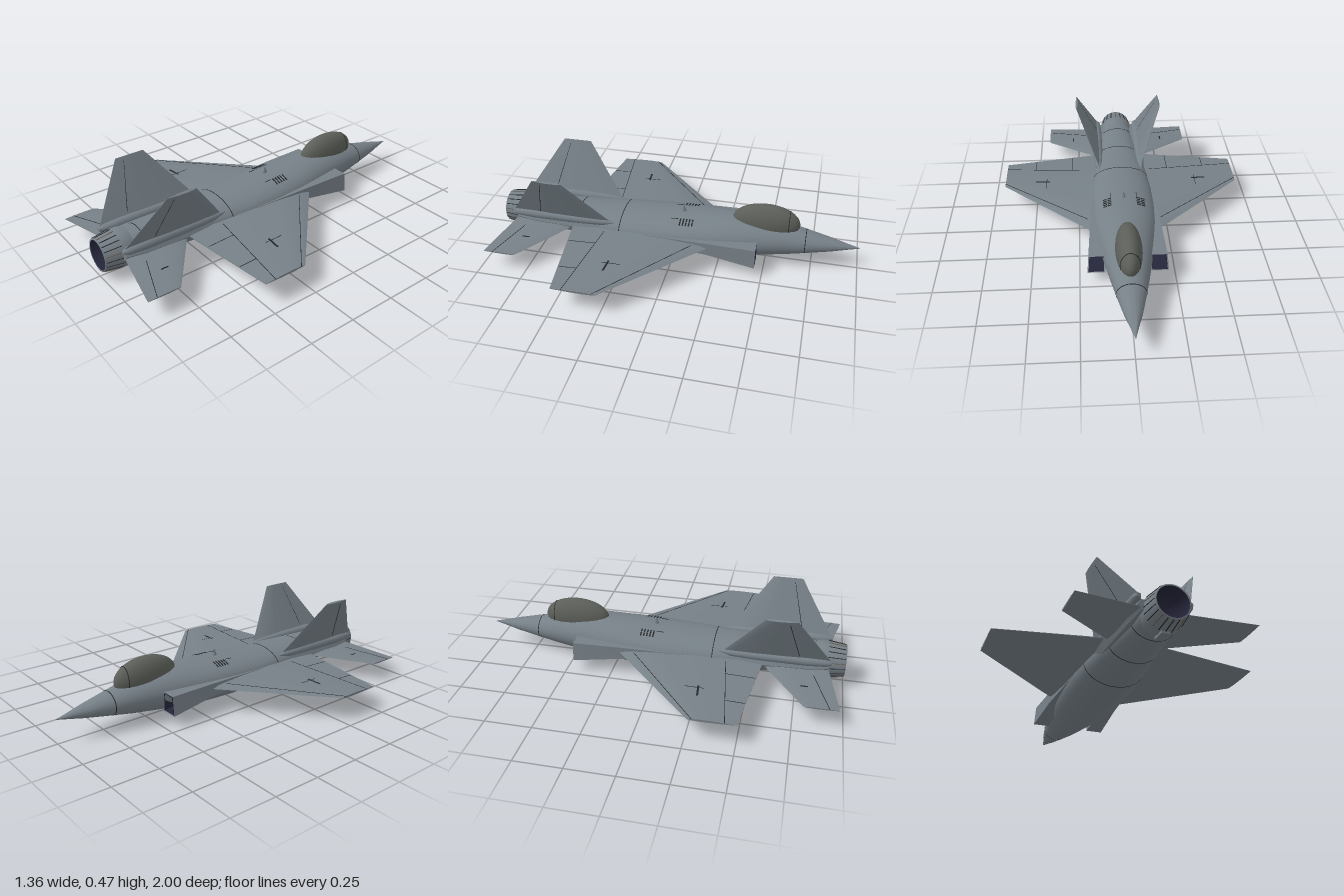
import * as THREE from 'three';
import { toCreasedNormals } from 'three/addons/utils/BufferGeometryUtils.js';

const mat = (name, color, side = THREE.FrontSide) => {
  const m = new THREE.MeshStandardMaterial({ color, side });
  m.name = name;
  return m;
};
const V = (x, y, z) => new THREE.Vector3(x, y, z);

// Fuselage stations: z, half width, bottom y, widest y, top y
const STATIONS = [
  [-1, 0.001, 0.129, 0.13, 0.131], [-0.92, 0.022, 0.112, 0.13, 0.15], [-0.85, 0.043, 0.097, 0.131, 0.167],
  [-0.71, 0.075, 0.072, 0.132, 0.197], [-0.6, 0.098, 0.052, 0.135, 0.222], [-0.45, 0.126, 0.032, 0.135, 0.242],
  [-0.3, 0.151, 0.014, 0.135, 0.245], [-0.18, 0.168, 0.005, 0.135, 0.239], [0, 0.176, 0, 0.135, 0.229],
  [0.15, 0.174, 0.006, 0.13, 0.221], [0.3, 0.163, 0.018, 0.13, 0.213], [0.45, 0.145, 0.03, 0.13, 0.208],
  [0.6, 0.125, 0.038, 0.13, 0.206], [0.78, 0.108, 0.044, 0.127, 0.206], [0.9, 0.1, 0.04, 0.125, 0.206],
];

function station(z) {
  let i = 1;
  while (i < STATIONS.length - 1 && STATIONS[i][0] < z) i++;
  const a = STATIONS[i - 1], b = STATIONS[i];
  const k = (z - a[0]) / (b[0] - a[0]);
  return a.map((v, j) => v + (b[j] - v) * k);
}

function bodyRing(z, grow = 0, n = 40) {
  const [, w, yb, ym, yt] = station(z);
  return Array.from({ length: n }, (_, i) => {
    const a = (i / n) * Math.PI * 2, s = Math.sin(a);
    return V((w + grow) * Math.cos(a), ym + s * ((s > 0 ? yt - ym : ym - yb) + grow), z);
  });
}

function bodyTop(x, z) {
  const [, w, , ym, yt] = station(z);
  return V(x, ym + (yt - ym) * Math.sqrt(Math.max(0, 1 - (x / w) ** 2)) + 0.001, z);
}

// Skin over closed rings of points, turned so that it faces outward
function loft(rings, { capStart = true, capEnd = true, crease = 0.7 } = {}) {
  const n = rings[0].length, pts = rings.flat(), idx = [];
  for (let r = 0; r < rings.length - 1; r++) for (let i = 0; i < n; i++) {
    const a = r * n + i, b = r * n + ((i + 1) % n);
    idx.push(a, b, a + n, b, b + n, a + n);
  }
  const cap = (r, flip) => {
    const c = pts.length;
    pts.push(rings[r].reduce((s, p) => s.add(p), V(0, 0, 0)).divideScalar(n));
    for (let i = 0; i < n; i++) {
      const a = r * n + i, b = r * n + ((i + 1) % n);
      idx.push(c, flip ? b : a, flip ? a : b);
    }
  };
  if (capStart) cap(0, true);
  if (capEnd) cap(rings.length - 1, false);
  const mid = pts.reduce((s, p) => s.add(p), V(0, 0, 0)).divideScalar(pts.length);
  let vol = 0;
  for (let i = 0; i < idx.length; i += 3) {
    const [a, b, c] = [0, 1, 2].map((k) => pts[idx[i + k]].clone().sub(mid));
    vol += a.dot(b.cross(c));
  }
  if (vol < 0) idx.reverse();
  const g = new THREE.BufferGeometry().setFromPoints(pts);
  g.setIndex(idx);
  return toCreasedNormals(g, crease);
}

// Wing panel: root and tip are { x, y, z0, z1, h }, h being half the thickness
const CHORD = [[0, 0], [0.06, 0.6], [0.3, 1], [0.6, 0.85], [1, 0.12]];
function panel(s, root, tip) {
  const nx = -(tip.y - root.y), ny = tip.x - root.x, len = Math.hypot(nx, ny);
  const thick = (t) => {
    let i = 1;
    while (CHORD[i][0] < t) i++;
    const [a, b] = [CHORD[i - 1], CHORD[i]];
    return a[1] + ((b[1] - a[1]) * (t - a[0])) / (b[0] - a[0]);
  };
  const at = (u, t, side = 1) => {
    const mix = (k) => root[k] + (tip[k] - root[k]) * u;
    const h = thick(t) * mix('h') * side;
    return V(s * (mix('x') + (nx / len) * h), mix('y') + (ny / len) * h, mix('z0') + (mix('z1') - mix('z0')) * t);
  };
  const ring = (u) => [
    ...CHORD.map(([t]) => at(u, t)),
    ...CHORD.slice(1).reverse().map(([t]) => at(u, t, -1)),
  ];
  return { geometry: loft([ring(0), ring(1)], { crease: 0.5 }), at };
}

export function createModel() {
  const model = new THREE.Group();
  model.name = 'jetAircraft';
  const grey = mat('airframe grey', 0x768087);
  const greyShell = mat('airframe grey shell', 0x768087, THREE.DoubleSide);
  const glass = mat('smoked canopy', 0x5c5f59);
  const dark = mat('panel gap', 0x24272a);
  const exhaust = mat('exhaust interior', 0x25253a, THREE.DoubleSide);
  const bronze = mat('heated metal', 0x6b5b4a);

  const add = (name, geometry, material, parent = model) => {
    const m = new THREE.Mesh(geometry, material);
    m.name = name;
    parent.add(m);
    return m;
  };
  // Thin strip between two points
  const line = (name, a, b, width = 0.003, material = dark) => {
    const m = add(name, new THREE.BoxGeometry(width, 0.002, a.distanceTo(b)), material);
    m.position.copy(a).add(b).multiplyScalar(0.5);
    m.lookAt(b);
  };

  // Fuselage and its seams
  const zs = [...STATIONS.map((s) => s[0])];
  add('fuselage', loft(zs.map((z) => bodyRing(z)), { crease: 0.9 }), grey);
  for (const z of [-0.71, 0.3, 0.555, 0.78])
    add('fuselageSeam', loft([bodyRing(z - 0.002, 0.0008), bodyRing(z + 0.002, 0.0008)]), dark);

  // Canopy
  const canopy = add('canopy', new THREE.SphereGeometry(1, 40, 28), glass);
  canopy.scale.set(0.068, 0.105, 0.183);
  canopy.position.set(0, 0.228, -0.49);
  const bow = add('canopyBow', new THREE.TorusGeometry(0.047, 0.002, 6, 32), dark);
  bow.position.set(0, 0.228, -0.615);
  bow.scale.set(1.06, 1.62, 1);

  // Nozzle: outer shell, lip and dark inner duct
  const lathe = (name, pts, material) => {
    const g = new THREE.LatheGeometry(pts.map(([r, z]) => new THREE.Vector2(r, z)), 40);
    g.rotateX(Math.PI / 2);
    add(name, g, material).position.y = 0.125;
  };
  lathe('nozzleShell', [[0.095, 0.84], [0.101, 0.87], [0.1, 0.9], [0.086, 1], [0.079, 1]], greyShell);
  lathe('nozzleDuct', [[0.079, 0.999], [0.072, 0.92], [0.0001, 0.915]], exhaust);
  for (let i = 0; i < 20; i++) {
    const a = (i / 20) * Math.PI * 2;
    const p = (r, z) => V(r * Math.cos(a), 0.125 + r * Math.sin(a), z);
    line('nozzlePetalGap', p(0.1, 0.905), p(0.087, 0.996), 0.005, i % 4 === 1 ? bronze : dark);
  }

  // Small fittings: dorsal beacon, tail hook fairing, chin probe
  const beacon = add('dorsalBeacon', new THREE.ConeGeometry(0.018, 0.045, 4), grey);
  beacon.position.set(0, 0.245, -0.035);
  beacon.scale.x = 0.7;
  add('hookFairing', new THREE.BoxGeometry(0.04, 0.035, 0.07), grey).position.set(0, 0.034, 0.875);
  line('chinProbe', V(0, 0.078, -0.72), V(0, 0.055, -0.67), 0.004, grey);

  for (const s of [1, -1]) {
    const side = s > 0 ? 'left' : 'right';

    // Main wing with flap lines
    const wing = panel(s, { x: 0.1, y: 0.137, z0: -0.285, z1: 0.575, h: 0.021 },
      { x: 0.68, y: 0.125, z0: 0.26, z1: 0.5, h: 0.006 });
    add(side + 'Wing', wing.geometry, grey);
    line('flapHinge', wing.at(0.13, 0.76), wing.at(1, 0.76));
    line('slatHinge', wing.at(0.17, 0.1), wing.at(1, 0.1));
    for (const u of [0.32, 0.7]) line('flapGap', wing.at(u, 0.76), wing.at(u, 0.99));
    line('wingPanelGap', wing.at(0.58, 0.35), wing.at(0.58, 0.55));
    line('wingPanelMark', wing.at(0.55, 0.5), wing.at(0.69, 0.44), 0.01);

    // Tailplane
    const tail = panel(s, { x: 0.08, y: 0.13, z0: 0.53, z1: 0.905, h: 0.011 },
      { x: 0.435, y: 0.103, z0: 0.8, z1: 0.975, h: 0.004 });
    add(side + 'Tailplane', tail.geometry, grey);
    line('tailPanelGap', tail.at(0.3, 0.72), tail.at(1, 0.72));
    line('tailPanelMark', tail.at(0.57, 0.35), tail.at(0.57, 0.5), 0.008);

    // Canted fin on its fairing
    const fin = panel(s, { x: 0.122, y: 0.178, z0: 0.355, z1: 0.925, h: 0.011 },
      { x: 0.25, y: 0.464, z0: 0.575, z1: 0.735, h: 0.007 });
    add(side + 'Fin', fin.geometry, grey);
    for (const k of [1, -1]) line('rudderHinge', fin.at(0.12, 0.72, k), fin.at(0.93, 0.72, k));
    const pod = [[0.33, 0.004], [0.4, 0.02], [0.55, 0.027], [0.8, 0.027], [0.9, 0.021], [0.925, 0.01]];
    add(side + 'FinFairing', loft(pod.map(([z, r]) => Array.from({ length: 16 }, (_, i) => {
      const a = (i / 16) * Math.PI * 2;
      return V(s * (0.126 + r * Math.cos(a)), 0.176 + r * Math.sin(a), z);
    }))), grey);

    // Boom that carries the tailplane
    const boom = [[0.3, 0.15, 0.1, 0.16], [0.55, 0.155, 0.095, 0.175], [0.8, 0.145, 0.1, 0.175], [0.91, 0.125, 0.115, 0.165]];
    add(side + 'TailBoom', loft(boom.map(([z, x, y0, y1]) =>
      [V(s * 0.08, y0, z), V(s * (x - 0.02), y0, z), V(s * x, (y0 + y1) / 2, z), V(s * (x - 0.015), y1, z), V(s * 0.08, y1, z)]
    ), { crease: 0.4 }), grey);

    // Air intake: open shell tapering into the wing root
    const duct = [[-0.46, 0.2, 0.21, 0.06, 0.165], [-0.2, 0.192, 0.195, 0.095, 0.165], [0.15, 0.172, 0.172, 0.115, 0.155]];
    const ductRing = ([z, xt, xb, y0, y1], inset = 0) => [
      V(s * (0.118 + inset), y0 + inset, z), V(s * (xb - inset), y0 + inset, z),
      V(s * (xt - inset), y1 - inset, z), V(s * (0.118 + inset), y1 - inset, z)];
    add(side + 'Intake', loft(duct.map((d) => ductRing(d)), { capStart: false, crease: 0.4 }), greyShell);
    const mouth = [duct[0], [-0.36, 0.196, 0.204, 0.073, 0.165]];
    add(side + 'IntakeThroat', loft(mouth.map((d) => ductRing(d, 0.006)), { capStart: false, crease: 0.4 }), exhaust);

    // Dorsal vents and shoulder seam
    for (const x of [0.08, 0.104]) for (let i = 0; i < 5; i++) {
      const z = -0.1 + i * 0.017;
      line('dorsalVent', bodyTop(s * (x - 0.01), z), bodyTop(s * (x + 0.01), z), 0.007);
    }
    line('shoulderSeam', bodyTop(s * 0.072, -0.02), bodyTop(s * 0.072, 0.02));
  }
  return model;
}
